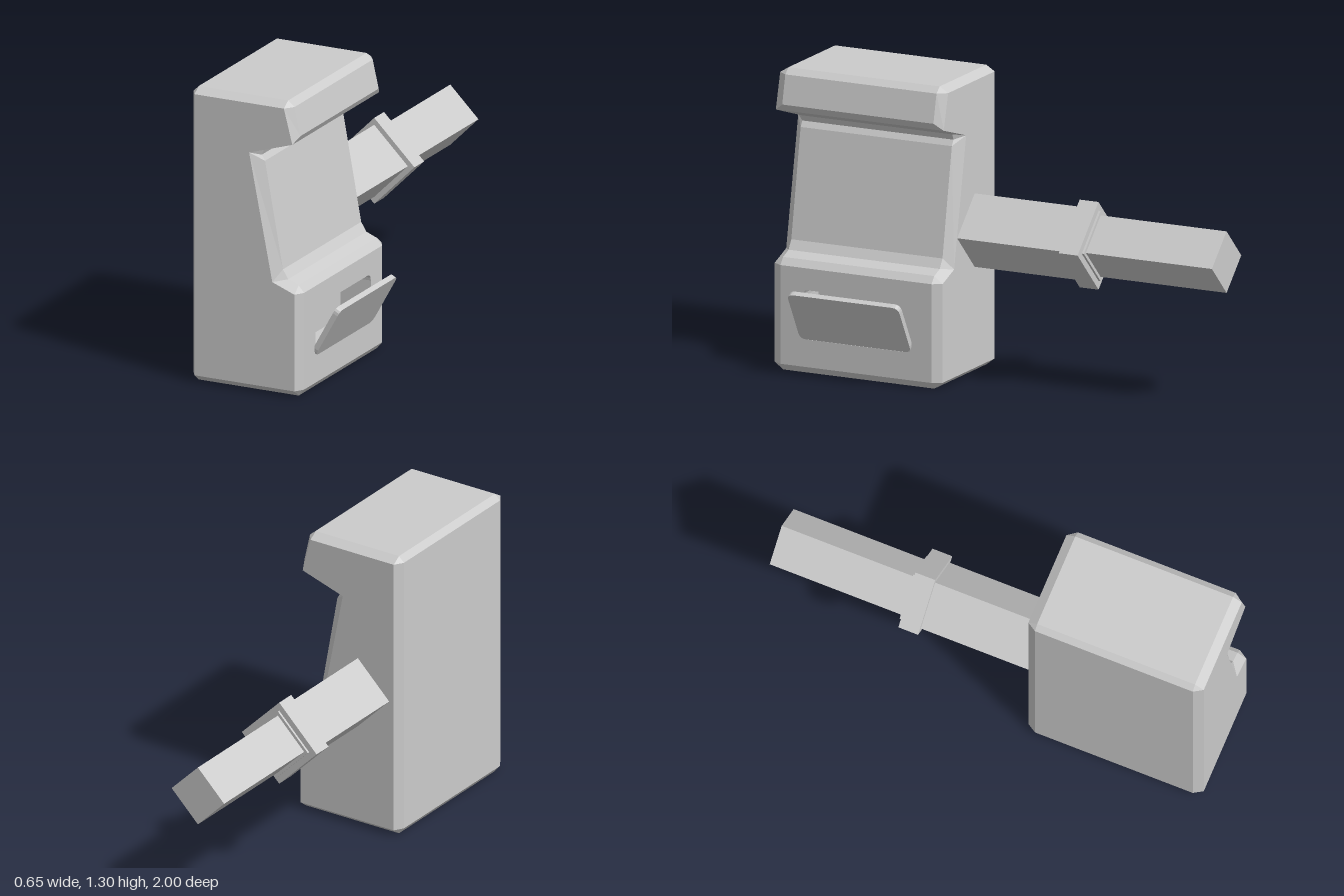
import * as THREE from 'three';

const material = new THREE.MeshStandardMaterial({ color: 0xcccccc, flatShading: true });

function addMesh(parent, name, geometry) {
  const mesh = new THREE.Mesh(geometry, material);
  mesh.name = name;
  parent.add(mesh);
  return mesh;
}

// Side cap outline, counter-clockwise in x, y
const cap = [
  [-0.3, 0.03], [0.175, 0.03], [0.175, 0.46], [0.07, 0.5],
  [-0.04, 1.06], [0.165, 1.125], [0.125, 1.28], [-0.3, 1.28],
];
// Full-width outline: x, y and the cap corner it chamfers towards
const outline = [
  [-0.3, 0, 0], [0.175, 0, 1], [0.2, 0.03, 1], [0.2, 0.46, 2], [0.175, 0.49, 2],
  [0.125, 0.51, 3], [0.1, 0.55, 3], [0.015, 1.02, 4], [0, 1.045, 4], [0.01, 1.07, 4],
  [0.165, 1.125, 5], [0.183, 1.155, 5], [0.155, 1.28, 6], [0.125, 1.305, 6],
  [-0.3, 1.305, 7], [-0.325, 1.28, 7], [-0.325, 0.03, 0],
];
const PANEL_EDGE = 2; // outline edge left open for the slotted panel

function cabinetGeometry() {
  const positions = [];
  const tri = (a, b, c) => {
    if (a.distanceTo(b) > 1e-6 && b.distanceTo(c) > 1e-6 && c.distanceTo(a) > 1e-6) {
      for (const p of [a, b, c]) positions.push(p.x, p.y, p.z);
    }
  };
  const inner = (z) => outline.map(([x, y]) => new THREE.Vector3(x, y, z));
  const outer = (z) => outline.map((p) => new THREE.Vector3(...cap[p[2]], z));
  const rings = [outer(0.2), inner(0.24), inner(0.96), outer(1)];

  // Chamfer, main span, chamfer
  for (let r = 0; r < 3; r++) {
    for (let i = 0; i < outline.length; i++) {
      if (r === 1 && i === PANEL_EDGE) continue;
      const j = (i + 1) % outline.length;
      tri(rings[r][i], rings[r][j], rings[r + 1][j]);
      tri(rings[r][i], rings[r + 1][j], rings[r + 1][i]);
    }
  }
  // Flat caps
  const flat = cap.map(([x, y]) => new THREE.Vector2(x, y));
  for (const [a, b, c] of THREE.ShapeUtils.triangulateShape(flat, [])) {
    const at = (i, z) => new THREE.Vector3(...cap[i], z);
    tri(at(a, 1), at(b, 1), at(c, 1));
    tri(at(c, 0.2), at(b, 0.2), at(a, 0.2));
  }
  const geometry = new THREE.BufferGeometry();
  geometry.setAttribute('position', new THREE.Float32BufferAttribute(positions, 3));
  geometry.computeVertexNormals();
  return geometry;
}

// Rectangle with cut corners, used for the slot and its flap
function cutRectangle(path, x0, y0, x1, y1, c) {
  path.moveTo(x0 + c, y0);
  path.lineTo(x1 - c, y0);
  path.quadraticCurveTo(x1, y0, x1, y0 + c);
  path.lineTo(x1, y1 - c);
  path.quadraticCurveTo(x1, y1, x1 - c, y1);
  path.lineTo(x0 + c, y1);
  path.quadraticCurveTo(x0, y1, x0, y1 - c);
  path.lineTo(x0, y0 + c);
  path.quadraticCurveTo(x0, y0, x0 + c, y0);
  return path;
}

export function createModel() {
  const model = new THREE.Group();
  model.name = 'cabinetWithPost';

  addMesh(model, 'cabinet', cabinetGeometry());

  // Lower panel with its slot; local x runs along -z, local z along +x
  const slotDepth = 0.15;
  const panelShape = new THREE.Shape([
    new THREE.Vector2(-0.36, 0.03), new THREE.Vector2(0.36, 0.03),
    new THREE.Vector2(0.36, 0.46), new THREE.Vector2(-0.36, 0.46),
  ]);
  panelShape.holes.push(cutRectangle(new THREE.Path(), -0.255, 0.15, 0.255, 0.365, 0.03));
  const panel = addMesh(model, 'slotPanel', new THREE.ExtrudeGeometry(panelShape, {
    depth: slotDepth, bevelEnabled: false, curveSegments: 4,
  }));
  panel.rotation.y = Math.PI / 2;
  panel.position.set(0.2 - slotDepth, 0, 0.6);

  const slotBack = addMesh(model, 'slotBack', new THREE.BoxGeometry(0.01, 0.3, 0.6));
  slotBack.position.set(0.2 - slotDepth, 0.26, 0.6);

  // Open flap hinged at the slot's lower edge
  const flap = new THREE.Group();
  flap.name = 'flap';
  const flapShape = cutRectangle(new THREE.Shape(), -0.265, 0, 0.265, 0.25, 0.03);
  addMesh(flap, 'flapPlate', new THREE.ExtrudeGeometry(flapShape, {
    depth: 0.024, bevelEnabled: false, curveSegments: 4,
  }));
  flap.rotation.order = 'YXZ';
  flap.rotation.set(0.505, Math.PI / 2, 0);
  flap.position.set(0.182, 0.163, 0.6);
  model.add(flap);

  // Square post on edge, stepping down behind a collar: name, half diagonal, z range
  const postParts = [
    ['postBase', 0.16, -0.3, 0.22],
    ['postCollar', 0.191, -0.39, -0.3],
    ['postStep', 0.153, -0.4, -0.39],
    ['postEnd', 0.134, -1, -0.4],
  ];
  for (const [name, radius, z0, z1] of postParts) {
    const geometry = new THREE.CylinderGeometry(radius, radius, z1 - z0, 4);
    const part = addMesh(model, name, geometry);
    part.rotation.x = Math.PI / 2;
    part.position.set(-0.117, 0.63, (z0 + z1) / 2);
  }
  return model;
}
